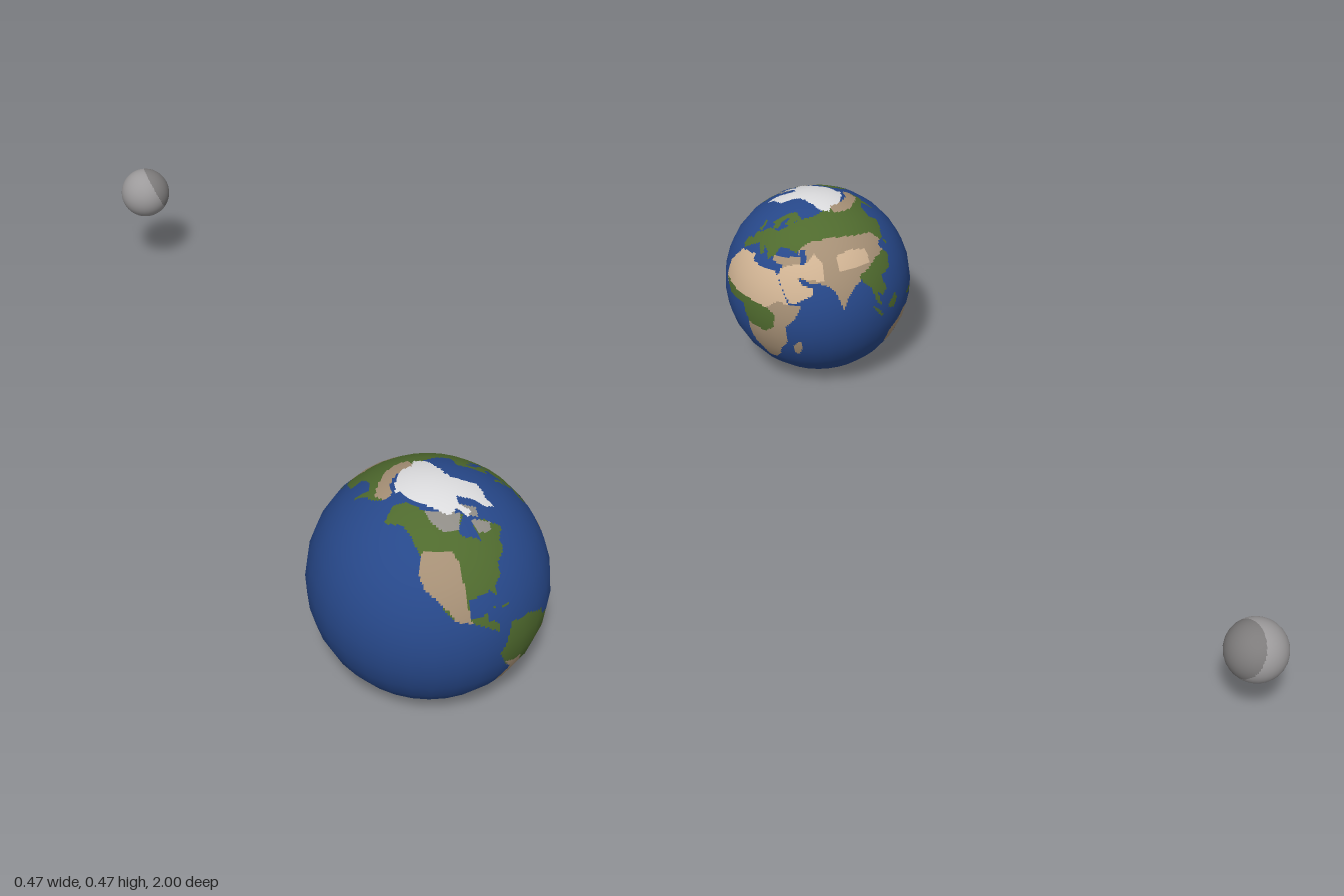
import * as THREE from 'three';

const mat = (name, color) => Object.assign(new THREE.MeshStandardMaterial({ color }), { name });
const MATERIALS = {
  ocean: mat('ocean blue', 0x27488a),
  forest: mat('forest green', 0x4f6a2e),
  dryland: mat('dry brown', 0xa58f75),
  desert: mat('desert sand', 0xd0b393),
  tundra: mat('tundra grey', 0x8f8c86),
  ice: mat('ice white', 0xdcdcde),
  moonRock: mat('moon grey', 0x9c9a9b),
  moonMare: mat('moon dark grey', 0x7d7b7b),
};

// Regions as [lon, lat, lon, lat, ...] outlines; later ones paint over earlier ones
const regions = [];
function paint(surface, outline) {
  const pts = [];
  for (let i = 0; i < outline.length; i += 2) pts.push([outline[i], outline[i + 1]]);
  regions.push({ surface, pts });
}

function inside(pts, x, y) {
  let hit = false;
  for (let i = 0, j = pts.length - 1; i < pts.length; j = i++) {
    const [xi, yi] = pts[i], [xj, yj] = pts[j];
    if ((yi > y) !== (yj > y) && x < ((xj - xi) * (y - yi)) / (yj - yi) + xi) hit = !hit;
  }
  return hit;
}

// North and Central America
paint('forest', [-166, 66, -156, 71, -125, 70, -95, 69, -82, 66, -94, 60, -92, 56, -82, 54, -79, 52, -78, 61, -70, 61, -64, 59,
  -56, 52, -65, 48, -66, 44, -74, 40, -76, 35, -81, 31, -81, 27, -84, 30, -97, 28, -97, 19, -91, 19, -88, 21, -88, 16, -83, 15,
  -82, 9, -78, 8, -84, 10, -88, 13, -94, 16, -105, 20, -113, 29, -120, 34, -124, 41, -124, 48, -133, 56, -145, 60, -160, 57]);
paint('dryland', [-122, 51, -112, 51, -102, 50, -99, 45, -98, 30, -97, 20, -96, 17, -104, 19, -107, 24, -113, 29, -120, 34, -124, 41, -124, 48]);
paint('tundra', [-128, 70, -95, 69, -84, 67, -93, 60, -105, 59, -118, 64]);
paint('tundra', [-78, 55, -78, 62, -70, 61, -62, 57, -66, 54]);
paint('tundra', [-90, 73, -80, 73, -62, 66, -68, 62, -78, 65]);
paint('forest', [-84, 22, -76, 21, -75, 20, -83, 21.5]);
// South America
paint('forest', [-75, 11, -64, 10, -58, 7, -51, 4, -50, 0, -42, -3, -36, -6, -38, -13, -41, -22, -48, -27, -53, -33, -58, -37,
  -63, -41, -66, -46, -69, -52, -74, -50, -73, -38, -70, -20, -76, -14, -81, -5, -78, 2]);
paint('dryland', [-77, -12, -72, -15, -64, -16, -62, -22, -58, -26, -53, -32, -58, -38, -63, -41, -66, -46, -68, -54, -74, -52, -74, -38, -71, -20]);
paint('dryland', [-42, -7, -36, -6, -38, -13, -40, -20, -46, -22, -50, -17, -46, -11]);
// Africa
paint('desert', [-6, 35, 10, 37, 11, 33, 20, 31, 32, 31, 35, 27, 43, 12, 51, 12, 47, 4, 40, -4, 40, -15, 35, -21, 32, -28, 26, -34,
  19, -34, 12, -17, 13, -6, 9, 4, -8, 5, -17, 13, -16, 22, -10, 30]);
paint('dryland', [28, 8, 36, 14, 43, 12, 51, 12, 47, 4, 40, -4, 40, -15, 35, -21, 32, -28, 26, -34, 19, -34, 12, -17, 12, -7, 28, -8]);
paint('forest', [-16, 13, -5, 11, 12, 10, 28, 8, 34, 4, 32, -5, 26, -9, 13, -7, 9, 4, -8, 5]);
paint('dryland', [44, -17, 49, -13, 50, -17, 47, -25, 44, -24]);
// Europe and northern Asia
paint('forest', [-9, 43, -2, 44, -4, 48, 3, 51, 8, 55, 20, 55, 28, 60, 40, 66, 60, 69, 75, 72, 105, 76, 130, 72, 160, 70, 180, 69,
  180, 65, 171, 60, 163, 58, 157, 51, 156, 60, 143, 59, 136, 54, 141, 48, 132, 43, 127, 39, 122, 40, 115, 43, 90, 46, 60, 48,
  45, 44, 38, 46, 30, 46, 28, 41, 23, 37, 20, 41, 13, 45, 17, 40, 15, 38, 8, 44, 0, 40, -5, 36, -9, 37]);
paint('forest', [5, 59, 12, 65, 20, 70, 30, 71, 42, 67, 34, 64, 30, 60, 22, 61, 25, 65, 21, 65, 17, 61, 18, 57, 13, 55, 10, 59]);
paint('forest', [-5, 50, 1, 51, 0, 54, -3, 58, -6, 57, -3, 54]);
paint('dryland', [100, 76, 130, 73, 160, 70, 180, 69, 180, 65, 168, 62, 145, 65, 120, 66, 98, 69]);
// Southern and eastern Asia
paint('dryland', [27, 37, 36, 36, 35, 30, 43, 14, 46, 13, 58, 19, 59, 23, 52, 25, 48, 30, 57, 26, 67, 25, 73, 20, 77, 8, 80, 14, 87, 21,
  91, 23, 98, 27, 108, 32, 119, 34, 118, 38, 123, 40, 118, 47, 95, 51, 75, 53, 55, 51, 47, 46, 48, 42, 40, 41, 27, 41]);
paint('desert', [34, 29, 43, 14, 46, 13, 58, 19, 59, 23, 51, 25, 48, 30, 56, 28, 66, 27, 66, 38, 60, 44, 54, 38, 40, 36, 35, 33]);
paint('desert', [78, 31, 102, 31, 104, 40, 90, 43, 78, 41]);
paint('forest', [91, 26, 98, 28, 108, 32, 119, 34, 122, 30, 117, 23, 108, 21, 109, 12, 105, 9, 101, 13, 104, 2, 99, 8, 98, 16, 92, 22]);
paint('forest', [126, 39, 129, 36, 127, 34.5, 126, 36]);
paint('ocean', [48, 46, 53, 46, 54, 38, 50, 37, 49, 41]);
// Islands and Australia
paint('forest', [96, 5, 100, 2, 105, -5, 102, -4]);
paint('forest', [109, 1, 116, 6, 118, 2, 115, -3, 110, -2]);
paint('forest', [132, -2, 141, -3, 147, -7, 142, -8, 137, -6]);
paint('dryland', [114, -22, 122, -18, 130, -12, 136, -12, 137, -16, 140, -17, 142, -11, 146, -19, 153, -26, 150, -37, 145, -38,
  138, -34, 131, -31, 123, -34, 115, -34]);
// Polar ice
paint('ice', [-180, 90, 180, 90, 180, 71, 150, 73, 125, 73, 105, 75, 92, 71, 75, 74, 60, 80, 20, 83, -10, 82, -20, 77, -22, 70,
  -40, 65, -44, 60, -52, 63, -55, 70, -70, 76, -78, 72, -70, 66, -78, 64, -84, 70, -98, 67, -112, 71, -130, 73, -180, 73]);
paint('ice', [-180, -90, 180, -90, 180, -73, 160, -70, 110, -67, 55, -67, 30, -70, 0, -71, -30, -76, -55, -75, -60, -66, -68, -70,
  -80, -74, -110, -75, -150, -77, -180, -77]);

function earthSurface(lon, lat) {
  for (let i = regions.length - 1; i >= 0; i--) if (inside(regions[i].pts, lon, lat)) return regions[i].surface;
  return 'ocean';
}

const direction = (lon, lat) => {
  const a = THREE.MathUtils.degToRad(lon), b = THREE.MathUtils.degToRad(lat);
  return new THREE.Vector3(Math.cos(b) * Math.cos(a), Math.sin(b), -Math.cos(b) * Math.sin(a));
};

// One broad dark plain on the moon
const mareCentre = direction(-8, 25);
const moonSurface = (lon, lat) => (direction(lon, lat).angleTo(mareCentre) < 1.12 ? 'moonMare' : 'moonRock');

// A 32 x 16 globe whose facets are cut into small cells, sorted into one mesh per surface
function globe(name, radius, cuts, surfaceAt) {
  const W = 32, H = 16, cols = W * cuts, rows = H * cuts, step = 360 / cols;
  const corner = (i, j) => direction(-180 + (360 * i) / W, 90 - (180 * j) / H);
  const grid = [];
  for (let r = 0; r <= rows; r++) {
    const j = Math.min(Math.floor(r / cuts), H - 1), t = r / cuts - j;
    grid.push([]);
    for (let c = 0; c <= cols; c++) {
      const i = Math.min(Math.floor(c / cuts), W - 1), s = c / cuts - i;
      const top = corner(i, j).lerp(corner(i + 1, j), s);
      grid[r].push(top.lerp(corner(i, j + 1).lerp(corner(i + 1, j + 1), s), t));
    }
  }
  const cells = {};
  for (let r = 0; r < rows; r++) {
    for (let c = 0; c < cols; c++) {
      const key = surfaceAt(-180 + (c + 0.5) * step, 90 - (r + 0.5) * step);
      const list = (cells[key] ??= []);
      const a = grid[r][c], b = grid[r][c + 1], d = grid[r + 1][c], e = grid[r + 1][c + 1];
      if (r < rows - 1) list.push(a, d, e);
      if (r > 0) list.push(a, e, b);
    }
  }
  const group = new THREE.Group();
  group.name = name;
  for (const [key, list] of Object.entries(cells)) {
    const geo = new THREE.BufferGeometry();
    const pos = list.flatMap((p) => [p.x * radius, p.y * radius, p.z * radius]);
    const nor = list.flatMap((p) => p.clone().normalize().toArray());
    geo.setAttribute('position', new THREE.Float32BufferAttribute(pos, 3));
    geo.setAttribute('normal', new THREE.Float32BufferAttribute(nor, 3));
    const mesh = new THREE.Mesh(geo, MATERIALS[key]);
    mesh.name = key;
    group.add(mesh);
  }
  return group;
}

export function createModel() {
  const model = new THREE.Group();
  model.name = 'planetAndMoon';
  const planet = globe('planet', 0.237, 10, earthSurface);
  planet.position.set(0, 0.237, 0.763);
  const moon = globe('moon', 0.064, 4, moonSurface);
  moon.position.set(0, 0.237, -0.936);
  model.add(planet, moon);
  return model;
}
